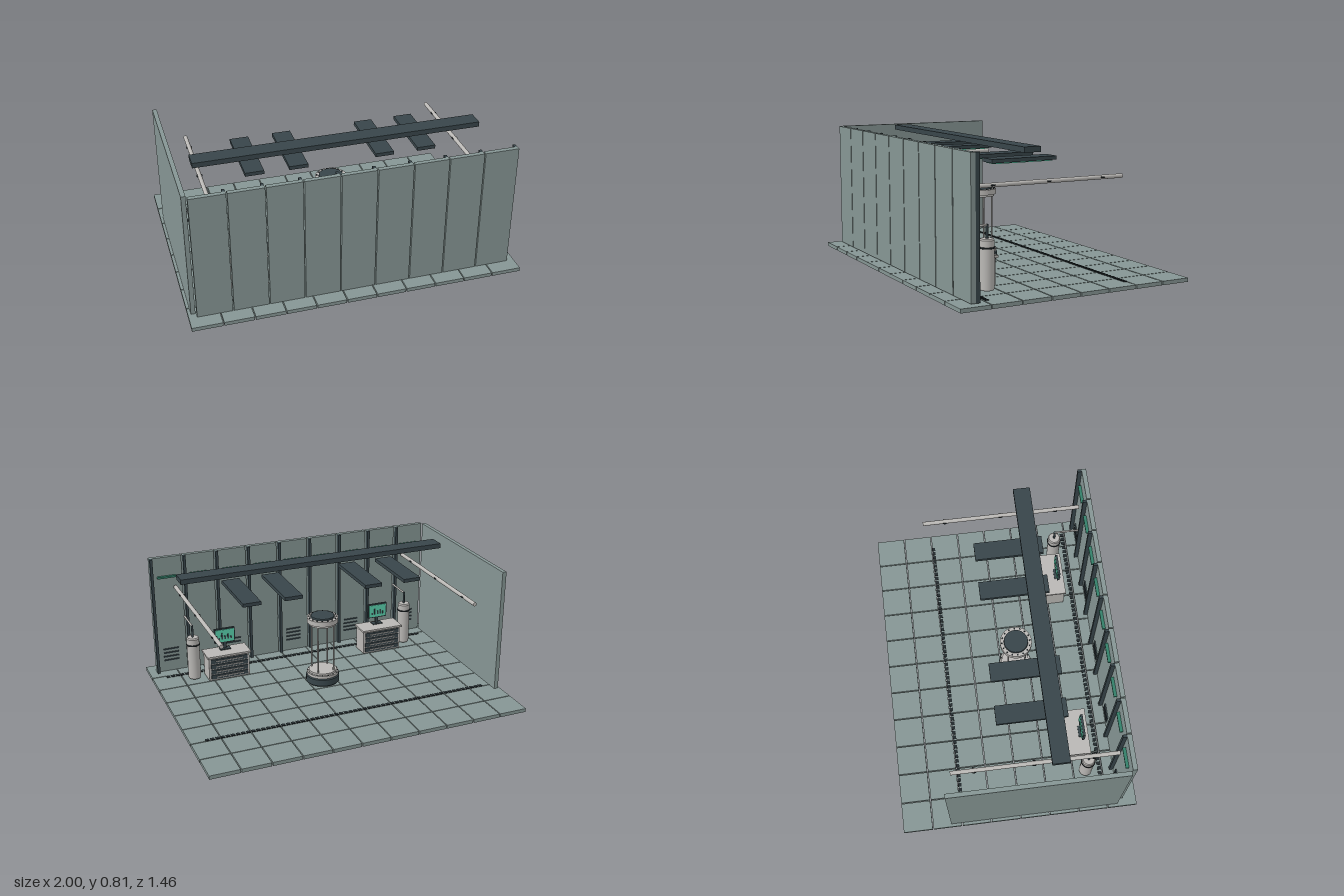
import * as THREE from 'three';

const mat = (name, color) => {
  const m = new THREE.MeshStandardMaterial({ color });
  m.name = name;
  return m;
};

export function createModel() {
  const panel = mat('greyGreenPanel', 0x869694);
  const dark = mat('darkSlate', 0x38454a);
  const light = mat('lightMetal', 0xbab8b5);
  const black = mat('nearBlack', 0x22292c);
  const glow = mat('brightGreen', 0x5ad2ae);
  const green = mat('deepGreen', 0x34806a);

  const root = new THREE.Group();
  root.name = 'laboratoryRoom';
  const group = (name, parent = root) => {
    const g = new THREE.Group();
    g.name = name;
    parent.add(g);
    return g;
  };
  const add = (parent, name, geo, m, x, y, z) => {
    const mesh = new THREE.Mesh(geo, m);
    mesh.name = name;
    mesh.position.set(x, y, z);
    parent.add(mesh);
    return mesh;
  };
  // box from min/max ranges
  const box = (parent, name, m, [x0, x1], [y0, y1], [z0, z1]) =>
    add(parent, name, new THREE.BoxGeometry(x1 - x0, y1 - y0, z1 - z0), m,
      (x0 + x1) / 2, (y0 + y1) / 2, (z0 + z1) / 2);
  // upright cylinder between two heights
  const cyl = (parent, name, m, rTop, rBottom, y0, y1, x = 0, z = 0, n = 32) =>
    add(parent, name, new THREE.CylinderGeometry(rTop, rBottom, y1 - y0, n), m, x, (y0 + y1) / 2, z);
  // cylinder running along z
  const pipeZ = (parent, name, m, r, x, y, z0, z1) => {
    const p = add(parent, name, new THREE.CylinderGeometry(r, r, z1 - z0, 16), m, x, y, (z0 + z1) / 2);
    p.rotation.x = Math.PI / 2;
    return p;
  };

  // Floor tiles with open joints
  const floor = group('floor');
  const px = 2 / 11, pz = 1.46 / 8, gap = 0.003;
  for (let i = 0; i < 11; i++) for (let j = 0; j < 8; j++) {
    const x = -1 + i * px, z = -0.73 + j * pz;
    box(floor, 'floorTile', panel,
      [x + (i ? gap : 0), x + px - (i < 10 ? gap : 0)], [0, 0.023],
      [z + (j ? gap : 0), z + pz - (j < 7 ? gap : 0)]);
  }

  // Floor drain grates
  const grates = group('floorGrates');
  for (const z of [-0.355, 0.53]) for (let i = 0; i < 59; i++) {
    const x = -0.9 + i * (1.8 / 58);
    box(grates, 'grateSlat', black, [x - 0.011, x + 0.011], [0.02, 0.027], [z - 0.011, z + 0.011]);
  }

  // Panelled wall with ribs, accent strips and vents
  const wall = group('panelWall');
  const pitch = 0.2125;
  for (let i = 0; i < 9; i++) {
    const x = -0.85 + i * pitch;
    box(wall, 'wallPanel', panel, [x - 0.103, x + 0.103], [0.027, 0.81], [0.617, 0.645]);
    box(wall, 'wallRib', dark, [x + 0.086, x + 0.103], [0.027, 0.81], [0.592, 0.617]);
    box(wall, 'accentStrip', green, [x - 0.06, x + 0.06], [0.675, 0.687], [0.598, 0.617]);
    if (i % 2 === 0) for (let k = 0; k < 4; k++) {
      const y = 0.1 + k * 0.026;
      box(wall, 'ventSlat', dark, [x - 0.05, x + 0.05], [y, y + 0.008], [0.609, 0.617]);
    }
  }
  box(root, 'sideWall', panel, [-0.983, -0.957], [0.027, 0.81], [-0.433, 0.61]);

  // Ceiling beam and hanging lamps
  box(root, 'ceilingBeam', dark, [-0.866, 0.866], [0.781, 0.812], [0.18, 0.283]);
  const lamps = group('ceilingLamps');
  for (const x of [-0.52, -0.26, 0.26, 0.52]) {
    box(lamps, 'lampHousing', dark, [x - 0.056, x + 0.056], [0.697, 0.719], [-0.1, 0.318]);
    box(lamps, 'lampDiffuser', glow, [x - 0.046, x + 0.046], [0.691, 0.697], [-0.08, 0.303]);
  }

  // Overhead pipes with collars
  const pipes = group('overheadPipes');
  for (const x of [-0.8, 0.8]) {
    pipeZ(pipes, 'overheadPipe', light, 0.0125, x, 0.612, -0.395, 0.592);
    for (const z of [0.44, 0.092, -0.257]) {
      const ring = add(pipes, 'pipeCollar', new THREE.TorusGeometry(0.014, 0.0045, 8, 24), black, x, 0.612, z);
      ring.rotation.x = Math.PI / 2;
    }
  }

  // Central chamber: base, rods and cap
  const tank = group('chamber');
  tank.position.set(0, 0, 0.091);
  cyl(tank, 'chamberFoot', dark, 0.106, 0.1, 0.033, 0.04);
  cyl(tank, 'chamberBase', dark, 0.106, 0.106, 0.04, 0.08);
  cyl(tank, 'chamberBaseBevel', dark, 0.1, 0.106, 0.08, 0.087);
  cyl(tank, 'baseCollar', light, 0.1, 0.1, 0.087, 0.104);
  cyl(tank, 'basePlate', light, 0.088, 0.088, 0.104, 0.117);
  cyl(tank, 'capRim', light, 0.088, 0.088, 0.429, 0.442);
  cyl(tank, 'capRing', light, 0.098, 0.098, 0.442, 0.474);
  cyl(tank, 'capLid', dark, 0.073, 0.075, 0.474, 0.485);
  for (let i = 0; i < 4; i++) {
    const a = Math.PI / 4 + i * Math.PI / 2;
    cyl(tank, 'chamberRod', light, 0.005, 0.005, 0.115, 0.432, 0.075 * Math.cos(a), 0.075 * Math.sin(a), 10);
  }
  for (let i = 0; i < 16; i++) {
    const a = i * Math.PI / 8, c = Math.cos(a), s = Math.sin(a);
    cyl(tank, 'capBolt', black, 0.005, 0.005, 0.472, 0.478, 0.087 * c, 0.087 * s, 8);
    cyl(tank, 'baseBolt', black, 0.004, 0.004, 0.1, 0.108, 0.094 * c, 0.094 * s, 8);
  }

  // Workstations: cabinet with drawers and a screen
  for (const x of [-0.54, 0.54]) {
    const desk = group('workstation');
    desk.position.x = x;
    box(desk, 'cabinet', light, [-0.135, 0.135], [0.033, 0.19], [0.35, 0.468]);
    box(desk, 'worktop', light, [-0.144, 0.144], [0.19, 0.203], [0.337, 0.476]);
    for (let k = 0; k < 4; k++) {
      const y = 0.044 + k * 0.036;
      box(desk, 'drawer', dark, [-0.122, 0.122], [y, y + 0.028], [0.343, 0.35]);
      box(desk, 'drawerHandle', light, [-0.09, 0.09], [y + 0.012, y + 0.017], [0.337, 0.343]);
    }
    box(desk, 'monitorFoot', dark, [-0.035, 0.035], [0.203, 0.209], [0.415, 0.455]);
    box(desk, 'monitorStand', dark, [-0.01, 0.01], [0.205, 0.27], [0.432, 0.444]);
    box(desk, 'monitor', dark, [-0.068, 0.068], [0.25, 0.348], [0.427, 0.442]);
    box(desk, 'screen', glow, [-0.061, 0.061], [0.257, 0.341], [0.423, 0.427]);
    [0.018, 0.034, 0.024, 0.044, 0.014].forEach((h, i) => {
      const bx = -0.04 + i * 0.02;
      box(desk, 'screenBar', dark, [bx - 0.005, bx + 0.005], [0.275, 0.275 + h], [0.421, 0.423]);
    });
  }

  // Gas cylinders with a feed pipe into the wall
  for (const x of [-0.747, 0.747]) {
    const tankGroup = group('gasCylinder');
    tankGroup.position.set(x, 0, 0.442);
    cyl(tankGroup, 'cylinderFoot', light, 0.04, 0.036, 0.035, 0.042);
    cyl(tankGroup, 'cylinderBody', light, 0.04, 0.04, 0.042, 0.31);
    cyl(tankGroup, 'cylinderShoulder', light, 0.034, 0.04, 0.31, 0.318);
    const band = add(tankGroup, 'cylinderBand', new THREE.TorusGeometry(0.04, 0.005, 8, 32), black, 0, 0.269, 0);
    band.rotation.x = Math.PI / 2;
    cyl(tankGroup, 'valveStem', dark, 0.007, 0.007, 0.318, 0.396, 0, 0, 12);
    pipeZ(tankGroup, 'feedPipe', light, 0.006, 0, 0.391, 0, 0.175);
  }
  return root;
}
